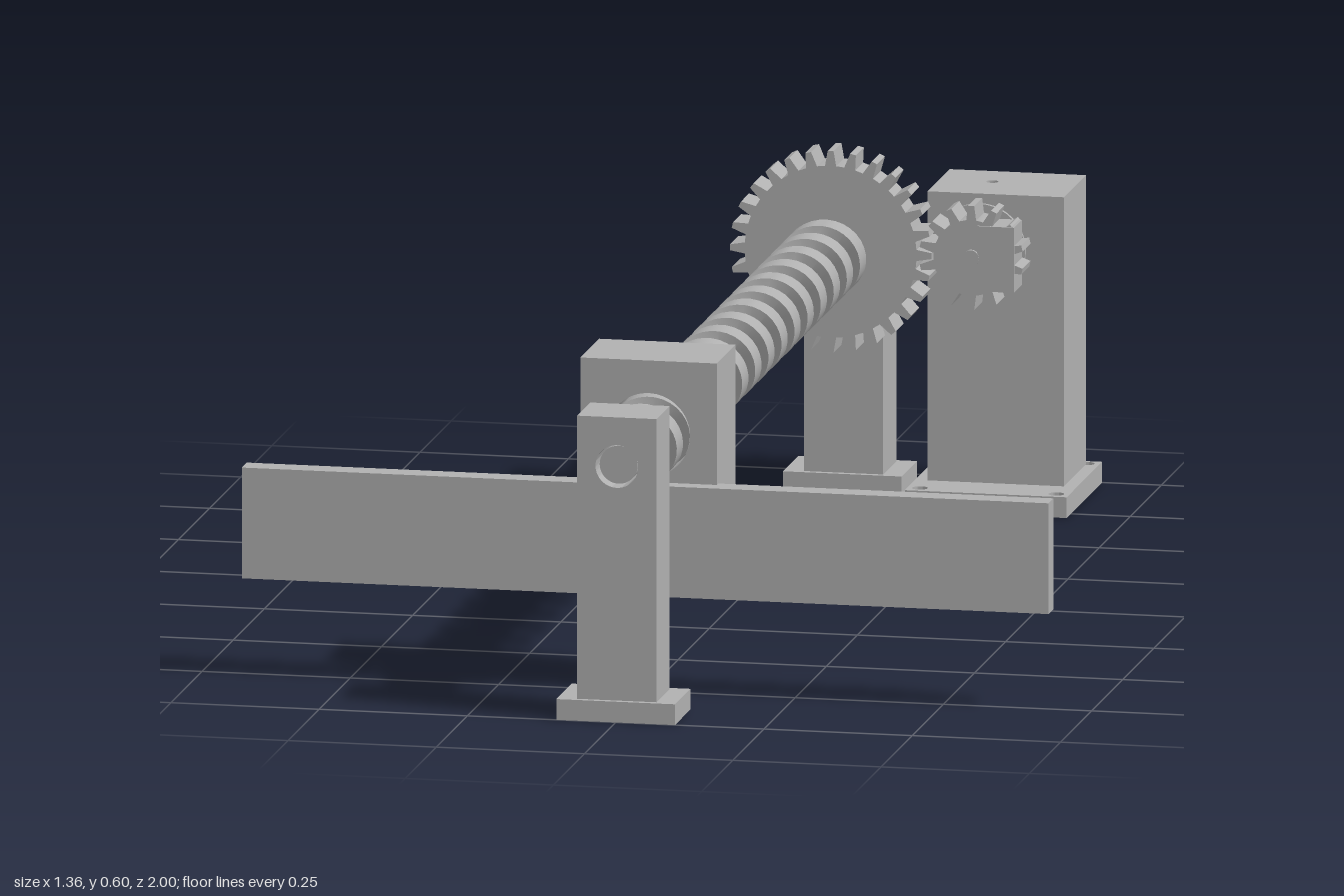
import * as THREE from 'three';
import { toCreasedNormals } from 'three/addons/utils/BufferGeometryUtils.js';

const AXIS_Y = 0.43;    // height of the screw and motor axes
const MOTOR_X = 0.237;  // sideways position of the motor axis

export function createModel() {
  const model = new THREE.Group();
  const grey = new THREE.MeshStandardMaterial({ color: 0xb0b0b0 });
  grey.name = 'plain grey';

  function add(name, geometry) {
    const mesh = new THREE.Mesh(geometry, grey);
    mesh.name = name;
    model.add(mesh);
    return mesh;
  }

  // Box given by its lower and upper limits on each axis
  function box(name, x0, x1, y0, y1, z0, z1) {
    const mesh = add(name, new THREE.BoxGeometry(x1 - x0, y1 - y0, z1 - z0));
    mesh.position.set((x0 + x1) / 2, (y0 + y1) / 2, (z0 + z1) / 2);
  }

  // Cylinder lying along z
  function rod(name, x, r, z0, z1) {
    const geometry = new THREE.CylinderGeometry(r, r, z1 - z0, 40).rotateX(Math.PI / 2);
    add(name, geometry).position.set(x, AXIS_Y, (z0 + z1) / 2);
  }

  // Rectangular outline with round holes given as [x, y, radius]
  function plate(x0, x1, y0, y1, holes) {
    const shape = new THREE.Shape([[x0, y0], [x1, y0], [x1, y1], [x0, y1]]
      .map(([x, y]) => new THREE.Vector2(x, y)));
    for (const [x, y, r] of holes) {
      shape.holes.push(new THREE.Path().absarc(x, y, r, 0, Math.PI * 2, true));
    }
    return shape;
  }

  function extrude(shape, depth) {
    const geometry = new THREE.ExtrudeGeometry(shape, { depth, bevelEnabled: false, curveSegments: 32 });
    return toCreasedNormals(geometry, 0.5);
  }

  // Bearing stands with a foot and a bored post
  for (const [name, z] of [['frontStand', 0.938], ['backStand', -0.881]]) {
    box(name + 'Foot', -0.1, 0.1, 0, 0.035, z - 0.062, z + 0.062);
    const post = plate(-0.067, 0.067, 0.035, 0.513, [[0, AXIS_Y, 0.036]]);
    add(name + 'Post', extrude(post, 0.105)).position.z = z - 0.0525;
  }

  // Lead screw: core rod and helical thread
  rod('screwShaft', 0, 0.032, -0.92, 0.976);
  rod('gearCollar', 0, 0.036, -0.727, -0.69);
  add('screwThread', threadGeometry(-0.695, 0.862, 0.105, 0.029, 0.067, 0.05));

  // Travelling nut and the crossbar it carries
  const nut = plate(-0.115, 0.115, 0.302, 0.555, [[0, AXIS_Y, 0.07]]);
  add('nutBlock', extrude(nut, 0.15)).position.z = 0.585;
  box('crossbar', -0.68, 0.68, 0.163, 0.35, 0.723, 0.763);

  // Gear pair, with the pinion turned half a tooth to mesh
  const gearZ = -0.789, gearDepth = 0.064;
  const wheel = add('largeGear', extrude(gearShape(28, 0.145, 0.17, 0), gearDepth));
  wheel.position.set(0, AXIS_Y, gearZ);
  const pinion = add('pinion', extrude(gearShape(14, 0.064, 0.088, 0.5), gearDepth));
  pinion.position.set(MOTOR_X, AXIS_Y, gearZ);
  rod('motorShaft', MOTOR_X, 0.014, -0.81, -0.72);
  box('pinionHub', 0.248, 0.31, 0.375, 0.485, -0.785, -0.721);

  // Motor: foot with screw holes, housing with a top hole, round body showing at both ends
  const screwHoles = [];
  for (const x of [0.148, 0.378]) {
    for (const z of [-0.981, -0.738]) screwHoles.push([x, -z, 0.013]);
  }
  add('motorFoot', extrude(plate(0.127, 0.4, 0.716, 1, screwHoles), 0.035).rotateX(-Math.PI / 2));
  const lid = plate(0.148, 0.378, 0.799, 0.976, [[0.237, 0.895, 0.01]]);
  add('motorHousingTop', extrude(lid, 0.015).rotateX(-Math.PI / 2)).position.y = 0.508;
  box('motorHousing', 0.148, 0.378, 0.035, 0.508, -0.976, -0.799);
  rod('motorBody', MOTOR_X, 0.077, -0.988, -0.792);

  return model;
}

// Spur gear outline with tapered teeth
function gearShape(teeth, root, tip, phase) {
  const points = [];
  const profile = [[-0.29, root], [-0.13, tip], [0.13, tip], [0.29, root]];
  for (let i = 0; i < teeth; i++) {
    for (const [offset, r] of profile) {
      const a = (i + phase + offset) / teeth * Math.PI * 2;
      points.push(new THREE.Vector2(r * Math.cos(a), r * Math.sin(a)));
    }
  }
  return new THREE.Shape(points);
}

// Right-handed square thread swept along z
function threadGeometry(z0, z1, pitch, inner, outer, width) {
  const section = [[-width / 2, inner], [-width / 2, outer], [width / 2, outer], [width / 2, inner]];
  const steps = Math.round((z1 - z0) / pitch * 32);
  const positions = [];
  const point = (step, corner) => {
    const z = z0 + (z1 - z0) * step / steps;
    const a = (z + 0.667) / pitch * Math.PI * 2;
    const [dz, r] = section[corner];
    return [r * Math.cos(a), AXIS_Y + r * Math.sin(a), z + dz];
  };
  const triangle = (a, b, c) => positions.push(...a, ...b, ...c);

  for (let i = 0; i < steps; i++) {
    for (let c = 0; c < 3; c++) {
      triangle(point(i, c), point(i + 1, c), point(i, c + 1));
      triangle(point(i, c + 1), point(i + 1, c), point(i + 1, c + 1));
    }
  }
  // End caps
  triangle(point(0, 0), point(0, 1), point(0, 2));
  triangle(point(0, 0), point(0, 2), point(0, 3));
  triangle(point(steps, 0), point(steps, 2), point(steps, 1));
  triangle(point(steps, 0), point(steps, 3), point(steps, 2));

  const geometry = new THREE.BufferGeometry();
  geometry.setAttribute('position', new THREE.Float32BufferAttribute(positions, 3));
  return toCreasedNormals(geometry, 0.6);
}
